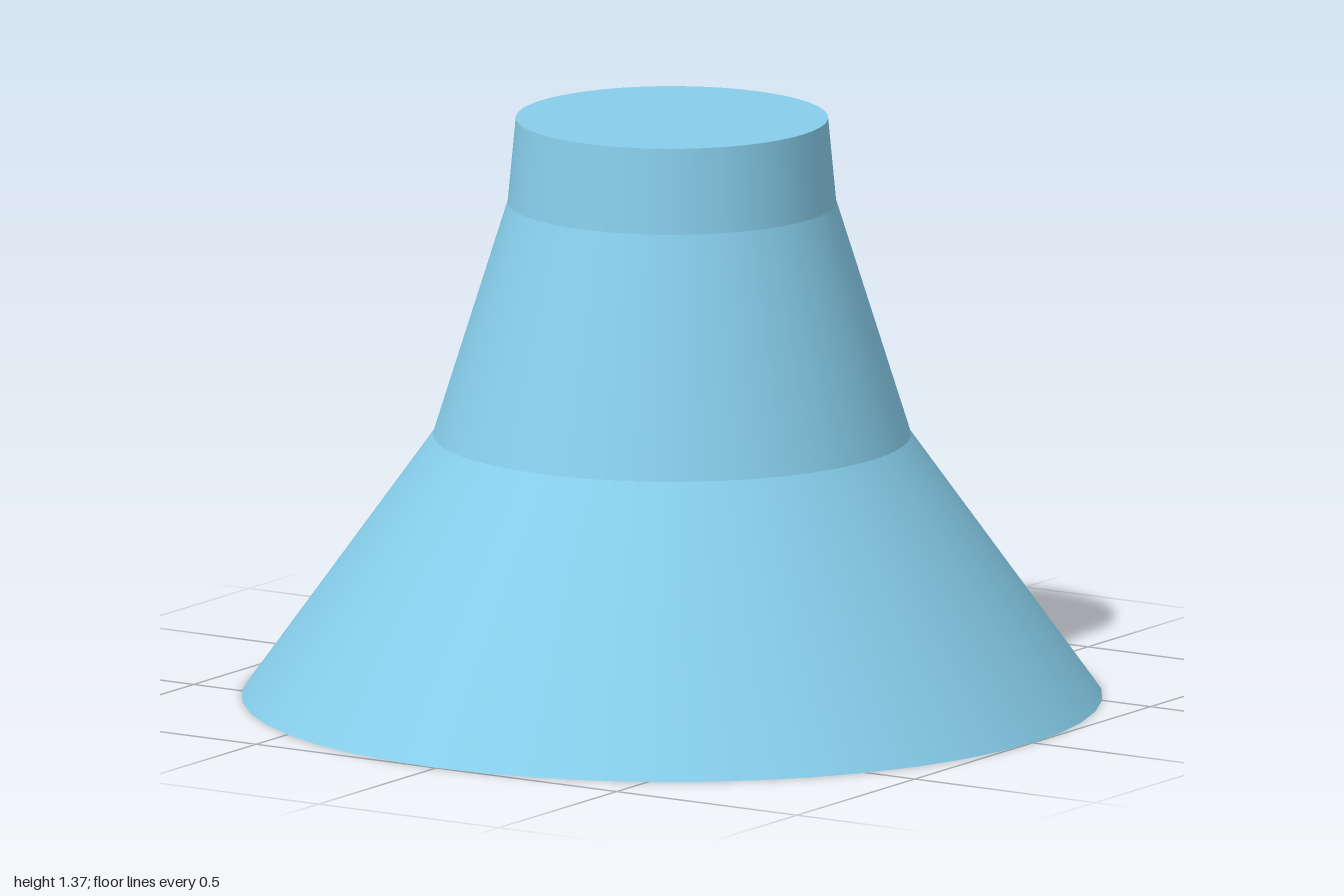
import * as THREE from 'three';

const SEGMENTS = 48;

export function createModel() {
  const group = new THREE.Group();
  group.name = 'steppedCone';
  const material = new THREE.MeshStandardMaterial({ color: 0x87ceeb });

  const addMesh = (name, geometry, y) => {
    const mesh = new THREE.Mesh(geometry, material);
    mesh.name = name;
    mesh.position.y = y;
    group.add(mesh);
    return mesh;
  };

  // Stacked tapering sections: name, bottom radius, top radius, bottom y, top y
  const sections = [
    ['flaredBase', 1, 0.555, 0, 0.62],
    ['taperedBody', 0.555, 0.382, 0.62, 1.17],
    ['neck', 0.382, 0.363, 1.17, 1.37],
  ];
  for (const [name, rBottom, rTop, y0, y1] of sections) {
    addMesh(name, new THREE.CylinderGeometry(rTop, rBottom, y1 - y0, SEGMENTS, 1, true), (y0 + y1) / 2);
  }

  // Flat discs closing both ends, with their edges matched to the walls
  const start = Math.PI / 2;
  addMesh('topCap', new THREE.CircleGeometry(0.363, SEGMENTS, start), 1.37).rotation.x = -Math.PI / 2;
  addMesh('bottomCap', new THREE.CircleGeometry(1, SEGMENTS, start), 0).rotation.x = Math.PI / 2;

  return group;
}
